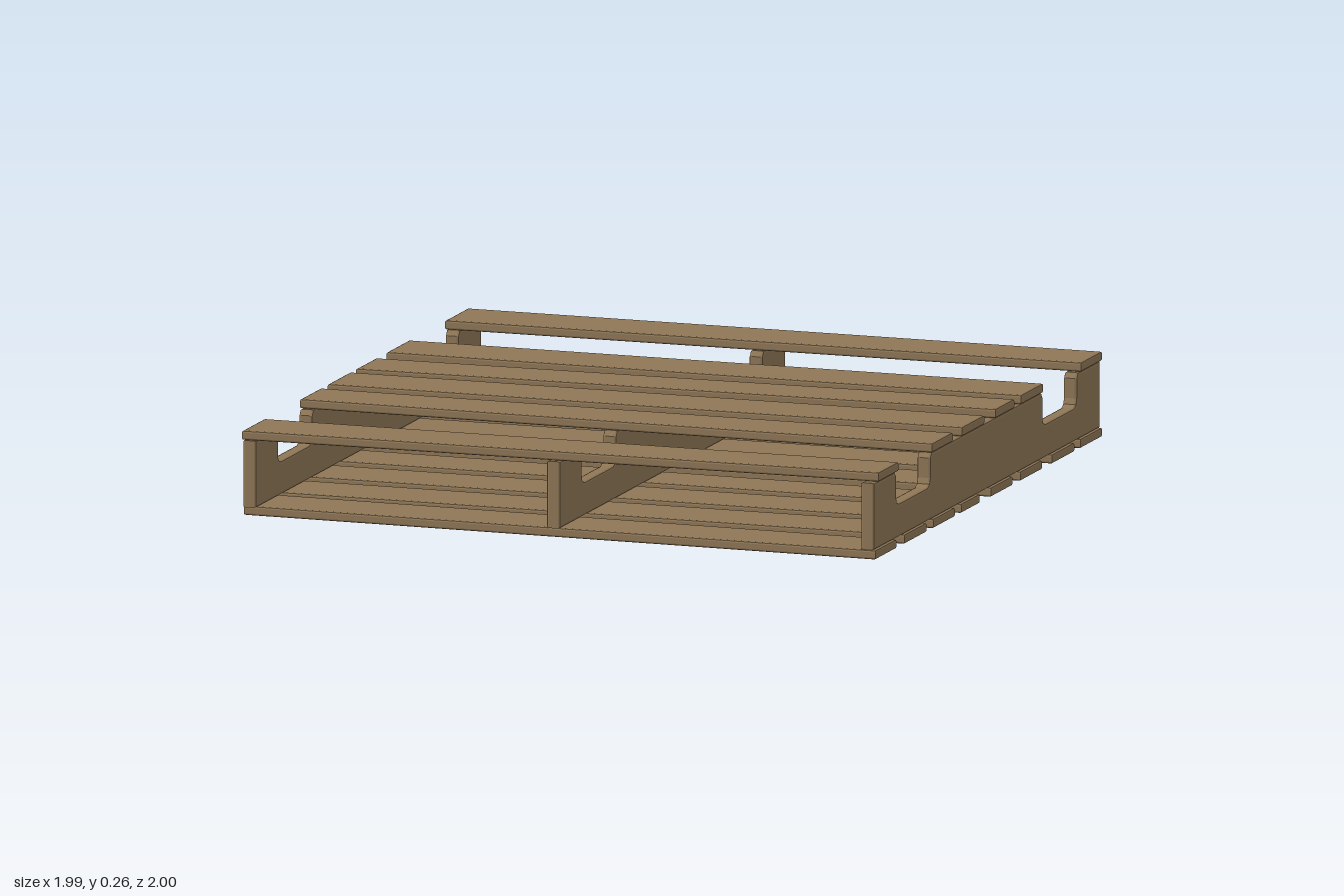
import * as THREE from 'three';

const wood = new THREE.MeshStandardMaterial({ color: 0x8e7656 });
wood.name = 'weathered wood';

// Extrudes an outline to an exact thickness with softened edges
function plank(points, thickness, bevel) {
  const shape = new THREE.Shape(points.map(([x, y]) => new THREE.Vector2(x, y)));
  const geo = new THREE.ExtrudeGeometry(shape, {
    depth: thickness - 2 * bevel,
    bevelEnabled: true,
    bevelThickness: bevel,
    bevelSize: bevel,
    bevelOffset: -bevel,
    bevelSegments: 2,
  });
  return geo.translate(0, 0, bevel);
}

const HALF_X = 0.993;
const BOARD = 0.028;
const DECK_Y = 0.229;

// Slightly crooked boards: [back z, front z] at the -x end, then at the +x end
const topBoards = [
  [-1.0, -0.8, -1.0, -0.815],
  [-0.48, -0.285, -0.48, -0.285],
  [-0.19, -0.015, -0.225, -0.06],
  [0.04, 0.235, 0.04, 0.235],
  [0.3, 0.48, 0.318, 0.5],
  [0.797, 0.992, 0.797, 0.972],
];
const bottomBoards = [
  [-1.0, -0.81, -1.0, -0.81],
  [-0.72, -0.555, -0.755, -0.56],
  [-0.47, -0.28, -0.47, -0.28],
  [-0.205, -0.01, -0.21, -0.02],
  [0.05, 0.235, 0.08, 0.243],
  [0.297, 0.49, 0.3, 0.49],
  [0.548, 0.743, 0.548, 0.743],
  [0.78, 0.975, 0.815, 1.0],
];

function addBoards(group, rows, name, y) {
  rows.forEach(([backL, frontL, backR, frontR], i) => {
    const geo = plank(
      [[-HALF_X, -frontL], [HALF_X, -frontR], [HALF_X, -backR], [-HALF_X, -backL]],
      BOARD, 0.006);
    geo.rotateX(-Math.PI / 2);
    const mesh = new THREE.Mesh(geo, wood);
    mesh.name = name + (i + 1);
    mesh.position.y = y;
    group.add(mesh);
  });
}

// Fork notch outline with eased corners, from z = a down to z = b
function notch(a, b) {
  const top = DECK_Y, floor = 0.128;
  return [
    [a + 0.012, top], [a, top - 0.016], [a, floor + 0.025], [a - 0.007, floor + 0.008],
    [a - 0.024, floor], [b + 0.024, floor], [b + 0.007, floor + 0.008],
    [b, floor + 0.025], [b, top - 0.016], [b - 0.012, top],
  ];
}

export function createModel() {
  const pallet = new THREE.Group();
  pallet.name = 'pallet';

  addBoards(pallet, topBoards, 'topBoard', DECK_Y);
  addBoards(pallet, bottomBoards, 'bottomBoard', 0);

  // Three notched stringers running front to back
  const width = 0.044;
  const outline = [
    [-0.996, BOARD], [0.996, BOARD], [0.996, DECK_Y],
    ...notch(0.8, 0.5), ...notch(-0.492, -0.792),
    [-0.996, DECK_Y],
  ];
  const stringerGeo = plank(outline, width, 0.008);
  stringerGeo.translate(0, 0, -width / 2).rotateY(-Math.PI / 2);
  const stringers = [['right', -0.968], ['middle', -0.017], ['left', 0.967]];
  for (const [side, x] of stringers) {
    const mesh = new THREE.Mesh(stringerGeo, wood);
    mesh.name = side + 'Stringer';
    mesh.position.x = x;
    pallet.add(mesh);
  }

  return pallet;
}
